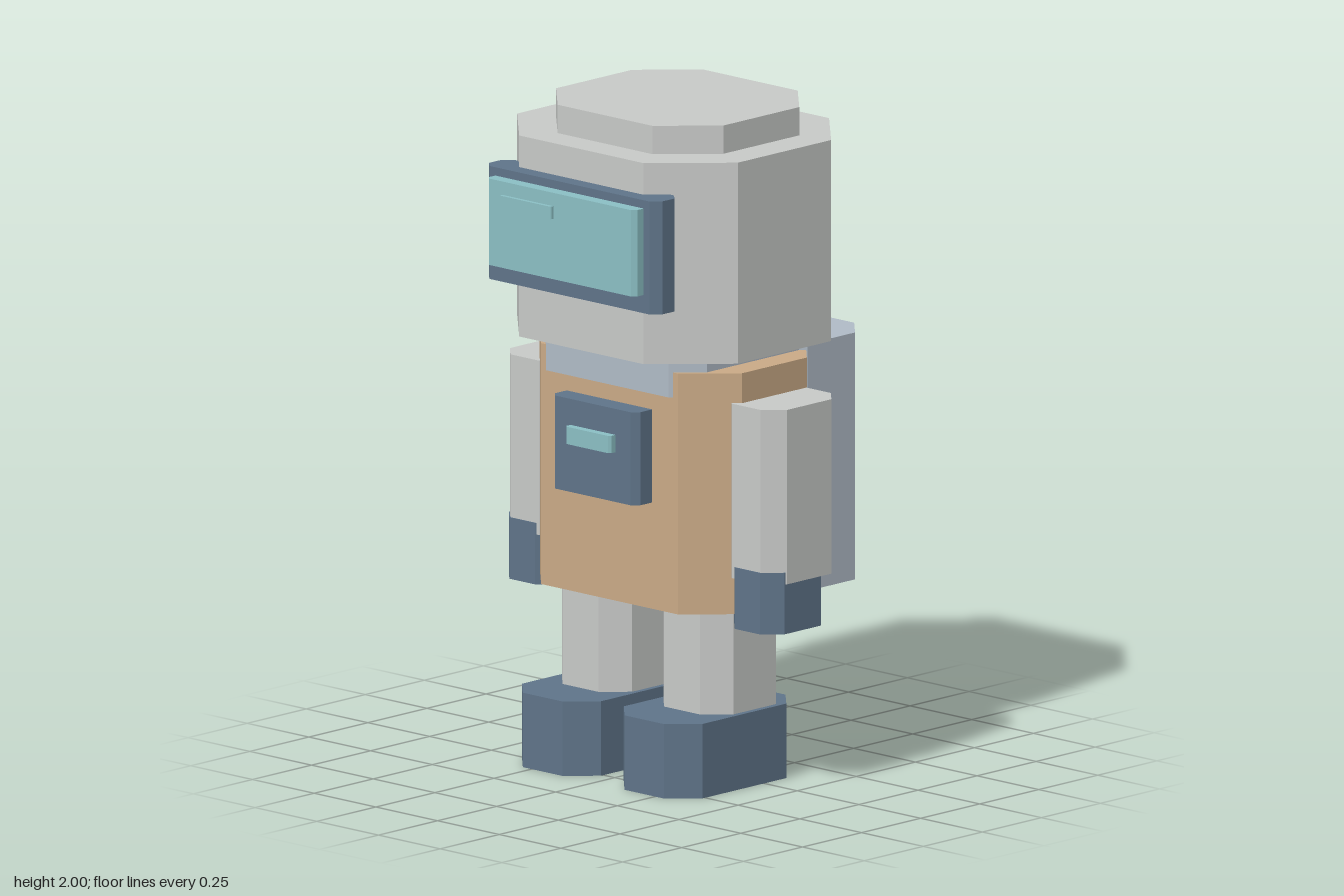
import * as THREE from 'three';

const material = (name, color) => {
  const m = new THREE.MeshStandardMaterial({ color, flatShading: true });
  m.name = name;
  return m;
};

// Upright block with cut vertical corners, given by its [min, max] ranges.
function block(name, mat, [x0, x1], [y0, y1], [z0, z1], cut) {
  const a = -z1, b = -z0; // shape y becomes -z after the turn
  const shape = new THREE.Shape([
    [x0 + cut, a], [x1 - cut, a], [x1, a + cut], [x1, b - cut],
    [x1 - cut, b], [x0 + cut, b], [x0, b - cut], [x0, a + cut],
  ].map(([x, y]) => new THREE.Vector2(x, y)));
  const geo = new THREE.ExtrudeGeometry(shape, { depth: y1 - y0, bevelEnabled: false });
  geo.rotateX(-Math.PI / 2);
  geo.translate(0, y0, 0);
  const mesh = new THREE.Mesh(geo, mat);
  mesh.name = name;
  return mesh;
}

export function createModel() {
  const grey = material('light grey', 0xc7c9c7);
  const paleBlue = material('pale blue grey', 0xb0bbc6);
  const navy = material('slate blue', 0x5f7489);
  const teal = material('teal glass', 0x8bbfc4);
  const tan = material('tan', 0xcaaa86);

  const model = new THREE.Group();
  model.name = 'astronaut';

  // Helmet and visor
  const head = new THREE.Group();
  head.name = 'head';
  head.add(
    block('helmet', grey, [-0.448, 0.446], [1.31, 1.915], [-0.395, 0.39], 0.195),
    block('helmetCap', grey, [-0.34, 0.338], [1.9, 2], [-0.325, 0.29], 0.147),
    block('visorFrame', navy, [-0.353, 0.349], [1.48, 1.82], [0.335, 0.44], 0.027),
    block('visorGlass', teal, [-0.302, 0.299], [1.535, 1.795], [0.41, 0.48], 0.013),
    block('visorGlint', teal, [-0.235, -0.028], [1.717, 1.755], [0.47, 0.492], 0.003),
  );

  // Torso, collar, chest panel and backpack
  const body = new THREE.Group();
  body.name = 'body';
  body.add(
    block('torso', tan, [-0.412, 0.408], [0.54, 1.265], [-0.27, 0.27], 0.133),
    block('collar', paleBlue, [-0.33, 0.326], [1.19, 1.33], [-0.28, 0.28], 0.08),
    block('chestPanel', navy, [-0.175, 0.171], [0.86, 1.14], [0.25, 0.34], 0.02),
    block('chestLight', teal, [-0.093, 0.09], [1.01, 1.062], [0.33, 0.365], 0.008),
    block('backpack', paleBlue, [-0.347, 0.344], [0.54, 1.283], [-0.495, -0.12], 0.087),
  );
  model.add(head, body);

  // Paired limbs: s = 1 is the left side, s = -1 the right
  for (const s of [1, -1]) {
    const side = s > 0 ? 'left' : 'right';
    const span = (inner, outer) => (s > 0 ? [inner, outer] : [-outer, -inner]);
    const arm = new THREE.Group();
    arm.name = side + 'Arm';
    arm.add(
      block(side + 'Sleeve', grey, span(0.335, 0.562), [0.65, 1.175], [-0.135, 0.162], 0.055),
      block(side + 'Glove', navy, span(0.355, 0.558), [0.5, 0.685], [-0.09, 0.165], 0.05),
    );
    const leg = new THREE.Group();
    leg.name = side + 'Leg';
    leg.add(
      block(side + 'Trouser', grey, span(0.063, 0.348), [0.2, 0.56], [-0.14, 0.18], 0.07),
      block(side + 'Boot', navy, span(0.046, 0.366), [0, 0.224], [-0.174, 0.34], 0.08),
    );
    model.add(arm, leg);
  }
  return model;
}
